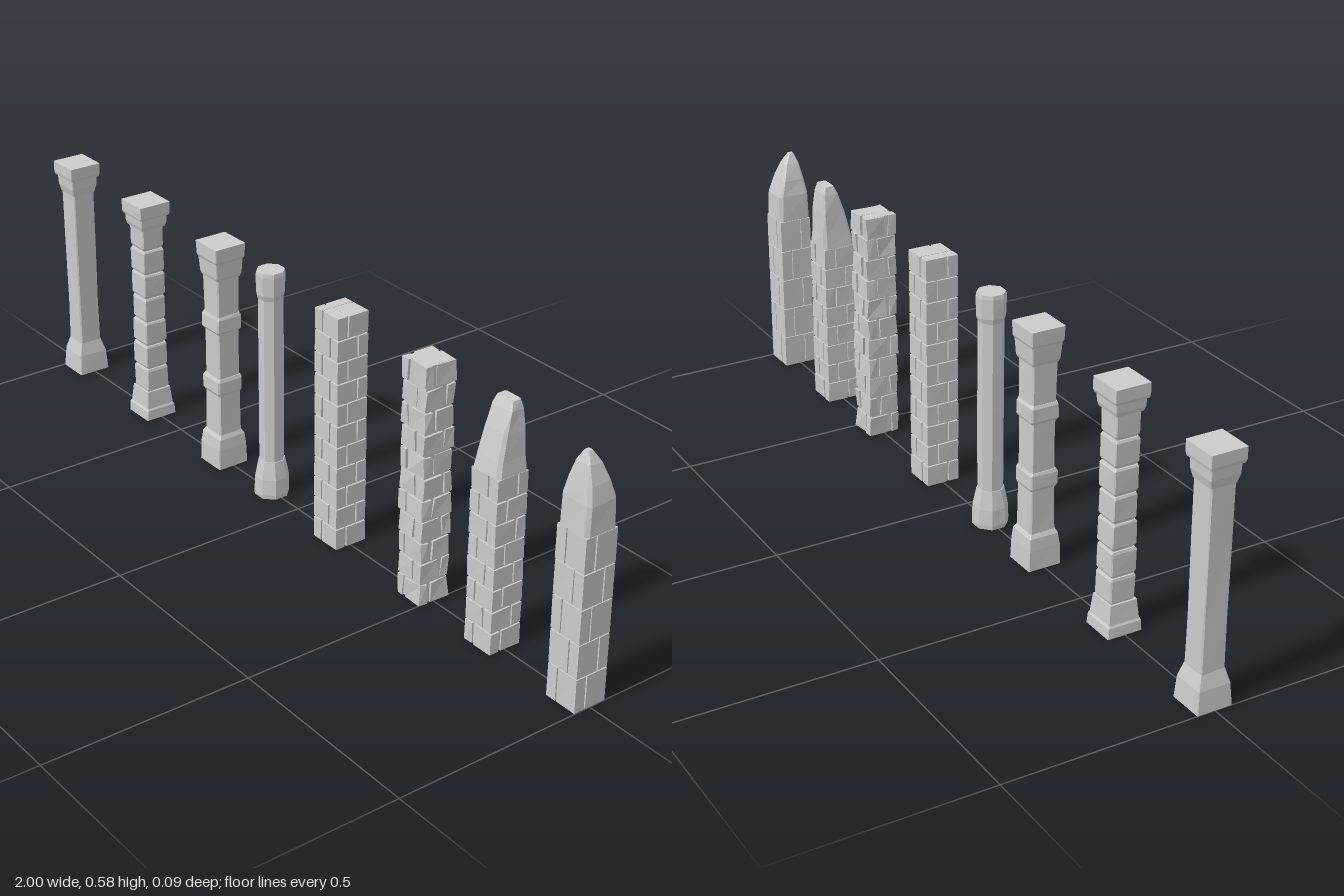
import * as THREE from 'three';

const stone = new THREE.MeshStandardMaterial({ color: 0xcccccc, flatShading: true });
const H = 0.585, W = 0.0425;

// small seeded generator, returns -1..1
let seed = 7;
const rnd = () => {
  seed = (seed * 16807) % 2147483647;
  return (seed / 2147483647) * 2 - 1;
};

function add(group, name, geometry) {
  const mesh = new THREE.Mesh(geometry, stone);
  mesh.name = name;
  group.add(mesh);
  return mesh;
}

// Stack of chamfered-square rings; section = [y, halfX, halfZ = halfX, offsetX, offsetZ]
// k = 0.414 gives a regular octagon, k near 1 a square with worn corners
function loft(sections, k = 0.93, wear = 0) {
  const ring = [[1, -k], [1, k], [k, 1], [-k, 1], [-1, k], [-1, -k], [-k, -1], [k, -1]];
  const pos = [], idx = [], n = 8, last = sections.length - 1;
  sections.forEach(([y, hx, hz = hx, ox = 0, oz = 0], s) => {
    const inner = s > 0 && s < last;
    for (const [u, v] of ring) {
      const j = inner ? 1 - Math.abs(rnd()) * wear : 1;
      pos.push(u * hx * j + ox, y + (inner ? rnd() * wear * 0.03 : 0), -v * hz * j + oz);
    }
  });
  for (let s = 0; s < last; s++) {
    for (let i = 0; i < n; i++) {
      const a = s * n + i, b = s * n + (i + 1) % n;
      idx.push(a, b, b + n, a, b + n, a + n);
    }
  }
  for (let i = 1; i < n - 1; i++) {
    idx.push(0, i + 1, i, last * n, last * n + i, last * n + i + 1);
  }
  const g = new THREE.BufferGeometry();
  g.setAttribute('position', new THREE.Float32BufferAttribute(pos, 3));
  g.setIndex(idx);
  return g;
}

// Box between two corners whose eight corners are pulled inwards a little
function block(x0, x1, y0, y1, z0, z1, wear) {
  const g = new THREE.BoxGeometry(x1 - x0, y1 - y0, z1 - z0);
  const p = g.attributes.position;
  const pull = Array.from({ length: 8 }, () => [rnd(), rnd() * 0.3, rnd()].map((v) => Math.abs(v) * wear));
  for (let i = 0; i < p.count; i++) {
    const s = [p.getX(i), p.getY(i), p.getZ(i)].map(Math.sign);
    const d = pull[(s[0] > 0 ? 1 : 0) + (s[1] > 0 ? 2 : 0) + (s[2] > 0 ? 4 : 0)];
    p.setXYZ(i, p.getX(i) - s[0] * d[0], p.getY(i) - s[1] * d[1], p.getZ(i) - s[2] * d[2]);
  }
  g.translate((x0 + x1) / 2, (y0 + y1) / 2, (z0 + z1) / 2);
  g.computeVertexNormals();
  return g;
}

// Courses of four blocks around a recessed core, seams alternating sides
function masonry(group, courses, h, gap, wear, inset) {
  const c = W - inset, top = courses * h;
  add(group, 'core', block(-c, c, 0.001, top - 0.001, -c, c, 0));
  for (let r = 0; r < courses; r++) {
    const s = r % 2 ? 0.014 : -0.014;
    const y0 = r ? r * h + gap / 2 : 0, y1 = r === courses - 1 ? top : (r + 1) * h - gap / 2;
    for (const [x0, x1] of [[-W, s - gap / 2], [s + gap / 2, W]]) {
      for (const [z0, z1] of [[-W, -s - gap / 2], [-s + gap / 2, W]]) {
        add(group, 'stoneBlock', block(x0, x1, y0, y1, z0, z1, wear));
      }
    }
  }
}

// Plain square pillar with bevelled base and slab-topped capital
function plainPillar(g) {
  add(g, 'base', loft([[0, 0.043], [0.052, 0.04], [0.085, 0.03]], 0.95, 0.04));
  add(g, 'shaft', loft([[0.07, 0.03], [0.2, 0.03], [0.38, 0.03], [0.53, 0.03]], 0.9, 0.05));
  add(g, 'capital', loft([[0.505, 0.031], [0.525, 0.036], [0.552, 0.037]], 0.95, 0.02));
  add(g, 'topSlab', loft([[0.55, 0.041], [0.558, 0.043], [H, 0.043]], 0.97));
}

// Pillar whose shaft is a stack of separate blocks
function stackedPillar(g) {
  add(g, 'plinth', loft([[0, 0.043], [0.025, 0.042], [0.03, 0.039], [0.075, 0.034]], 0.96, 0.02));
  add(g, 'core', loft([[0.05, 0.025], [0.54, 0.025]], 0.95));
  const n = 7, h = 0.455 / n;
  for (let i = 0; i < n; i++) {
    const y = 0.073 + i * h, w = 0.031 + rnd() * 0.001;
    add(g, 'shaftBlock', loft([[y + 0.002, w - 0.003], [y + 0.007, w], [y + h - 0.007, w], [y + h - 0.002, w - 0.003]], 0.92, 0.05));
  }
  add(g, 'capital', loft([[0.52, 0.034], [0.53, 0.037], [0.552, 0.038]], 0.95));
  add(g, 'topSlab', loft([[0.55, 0.041], [0.556, 0.043], [H, 0.043]], 0.97));
}

// Heavier pillar with two raised bands
function bandedPillar(g) {
  add(g, 'base', loft([[0, 0.042], [0.05, 0.041], [0.078, 0.038], [0.088, 0.032]], 0.94, 0.03));
  add(g, 'shaft', loft([[0.07, 0.032], [0.15, 0.032], [0.3, 0.031], [0.43, 0.032], [0.52, 0.032]], 0.9, 0.06));
  for (const y of [0.195, 0.36]) {
    add(g, 'band', loft([[y, 0.032], [y + 0.006, 0.036], [y + 0.038, 0.036], [y + 0.045, 0.032]], 0.9, 0.05));
  }
  add(g, 'capital', loft([[0.5, 0.033], [0.508, 0.036], [0.545, 0.039], [0.552, 0.042], [H, 0.0425]], 0.95, 0.02));
}

// Slender octagonal column
function octagonalPillar(g) {
  const k = 0.414;
  add(g, 'base', loft([[0, 0.039], [0.01, 0.041], [0.05, 0.039], [0.095, 0.03]], k, 0.03));
  add(g, 'shaft', loft([[0.08, 0.028], [0.3, 0.029], [0.54, 0.028]], k, 0.04));
  add(g, 'capital', loft([[0.515, 0.028], [0.528, 0.032], [0.575, 0.033], [H, 0.031]], k, 0.03));
}

function brickPillar(g) {
  masonry(g, 11, H / 11, 0.004, 0.0008, 0.005);
}

function wornBrickPillar(g) {
  masonry(g, 11, H / 11, 0.004, 0.006, 0.007);
}

// Brick pillar with a broken, slanted top
function brokenPillar(g) {
  masonry(g, 8, 0.053, 0.0035, 0.002, 0.005);
  add(g, 'brokenTop', loft([
    [0.425, W, W], [0.46, 0.041, 0.04, 0, -0.002], [0.52, 0.036, 0.031, 0, -0.009],
    [0.565, 0.031, 0.021, 0, -0.014], [H, 0.024, 0.013, 0, -0.015],
  ], 0.8, 0.07));
}

// Large-block pillar worn to a point
function pointedPillar(g) {
  masonry(g, 5, 0.0824, 0.0025, 0.0008, 0.004);
  add(g, 'pointedTop', loft([
    [0.413, W, W], [0.48, 0.042, 0.041], [0.52, 0.034, 0.031, 0, 0.004],
    [0.56, 0.02, 0.02, 0, 0.008], [H, 0.006, 0.006, 0, 0.012],
  ], 0.8, 0.06));
}

export function createModel() {
  const model = new THREE.Group();
  model.name = 'stonePillars';
  const row = [
    [-0.957, plainPillar], [-0.631, stackedPillar], [-0.307, bandedPillar], [-0.105, octagonalPillar],
    [0.162, brickPillar], [0.463, wornBrickPillar], [0.697, brokenPillar], [0.957, pointedPillar],
  ];
  seed = 7;
  for (const [x, build] of row) {
    const g = new THREE.Group();
    g.name = build.name;
    g.position.x = x;
    build(g);
    model.add(g);
  }
  return model;
}
